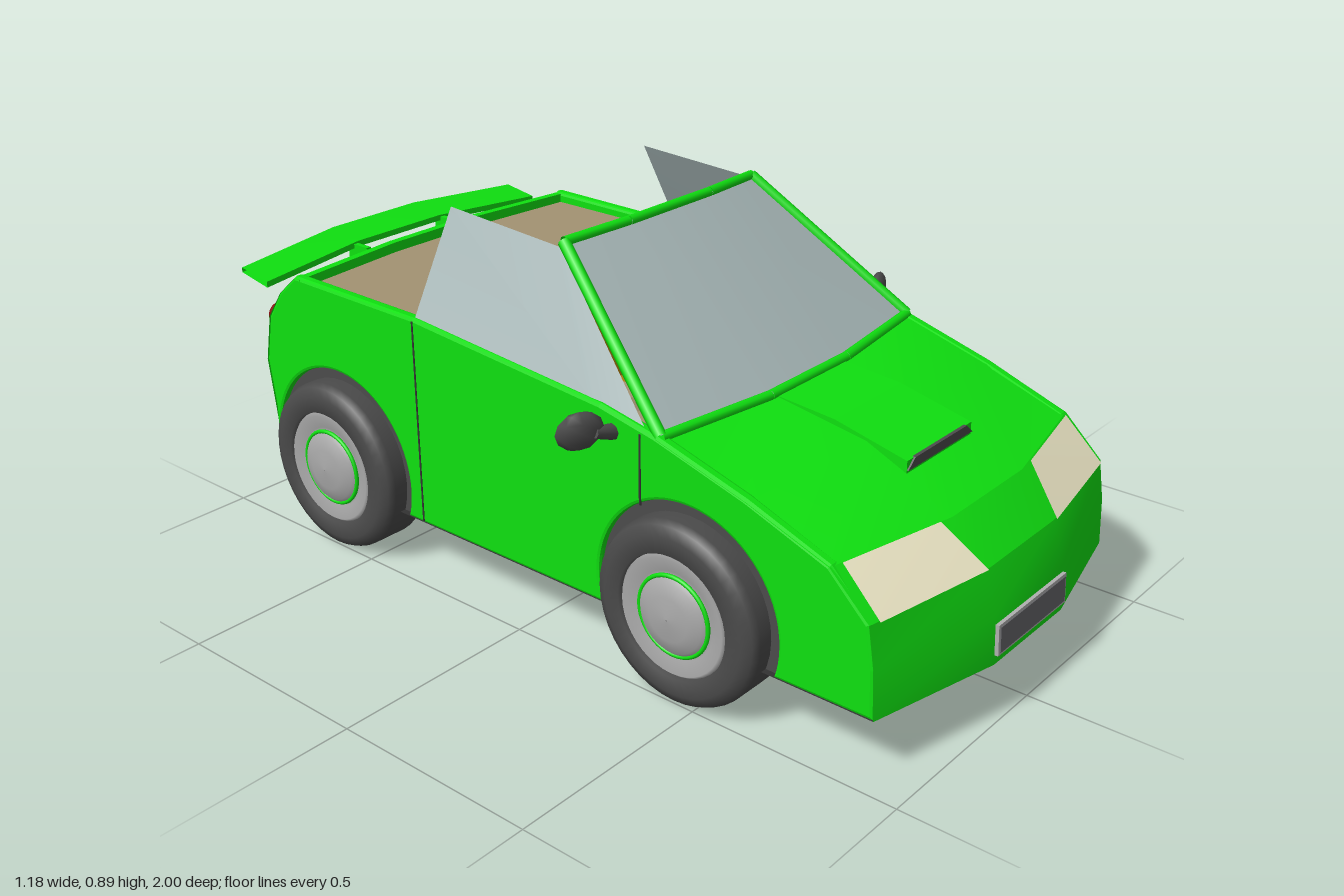
import * as THREE from 'three';
import { toCreasedNormals } from 'three/addons/utils/BufferGeometryUtils.js';

const mat = (color) => new THREE.MeshStandardMaterial({ color, side: THREE.DoubleSide });
const M = {
  paint: mat(0x0fe010), glass: mat(0xa5b5b5), trim: mat(0x4c4c4c), tyre: mat(0x4a4a4a),
  rim: mat(0xa8a8a8), tan: mat(0xa39272), seat: mat(0xa87a10), lamp: mat(0xf2ecca),
  red: mat(0x80080c), amber: mat(0xcc960c), plate: mat(0x66666a), frame: mat(0xb0b0b0), dark: mat(0x333333),
};

export function createModel() {
  const model = new THREE.Group();
  const W = 0.465, BEND = 0.14;

  const add = (name, geo, material, x = 0, y = 0, z = 0, parent = model) => {
    const mesh = new THREE.Mesh(geo, material);
    mesh.name = name;
    mesh.position.set(x, y, z);
    parent.add(mesh);
    return mesh;
  };
  const box = (name, w, h, d, material, x, y, z) => add(name, new THREE.BoxGeometry(w, h, d), material, x, y, z);

  // Grid of points (rows of [x, y, z]) turned into a smooth-shaded skin with sharp creases
  const skin = (name, rows, material, crease = 0.35) => {
    const n = rows[0].length, index = [];
    for (let r = 0; r < rows.length - 1; r++)
      for (let c = 0; c < n - 1; c++) {
        const a = r * n + c, b = a + n;
        index.push(a, a + 1, b, a + 1, b + 1, b);
      }
    const geo = new THREE.BufferGeometry();
    geo.setAttribute('position', new THREE.Float32BufferAttribute(rows.flat(2), 3));
    geo.setIndex(index);
    geo.computeVertexNormals();
    return add(name, toCreasedNormals(geo, crease), material);
  };
  // One row across the car: the middle part is straight, the outer parts sweep back
  const across = ([zSide, ySide, zMid, yMid], w = W) =>
    [[-w, ySide, zSide], [-BEND, yMid, zMid], [BEND, yMid, zMid], [w, ySide, zSide]];

  // Outline in (z, y) extruded across x from x0 to x1
  const sideExtrude = (shape, x0, x1, bevel = 0) => {
    const geo = new THREE.ExtrudeGeometry(shape, {
      depth: x1 - x0 - 2 * bevel, bevelEnabled: bevel > 0, bevelThickness: bevel,
      bevelSize: bevel, bevelOffset: -bevel, bevelSegments: 2, curveSegments: 24,
    });
    return geo.rotateY(-Math.PI / 2).translate(x1 - bevel, 0, 0);
  };
  const outline = (pts) => new THREE.Shape(pts.map(([z, y]) => new THREE.Vector2(z, y)));

  // Nose and bonnet, running from the front sill up to the windscreen
  skin('noseAndBonnet', [
    [0.915, 0.14, 0.99, 0.14], [0.91, 0.25, 0.985, 0.25], [0.895, 0.345, 0.955, 0.345],
    [0.8, 0.435, 0.87, 0.435], [0.6, 0.505, 0.65, 0.53], [0.37, 0.57, 0.42, 0.565],
  ].map((r) => across(r)).reverse(), M.paint);

  // Tail, running from the rear sill up to the rear deck
  skin('tail', [
    [-0.85, 0.14, -0.92, 0.14], [-0.87, 0.3, -0.95, 0.3], [-0.885, 0.41, -0.975, 0.41],
    [-0.86, 0.53, -0.925, 0.54], [-0.81, 0.6, -0.84, 0.6], [-0.75, 0.652, -0.78, 0.655], [-0.73, 0.652, -0.76, 0.655],
    [-0.73, 0.61, -0.76, 0.61],
  ].map((r) => across(r)), M.paint);

  // Underbody
  skin('underbody', [across([0.915, 0.141, 0.99, 0.141]), across([-0.85, 0.141, -0.92, 0.141])], M.dark);

  // Side panels with wheel arches cut out of the lower edge
  const AXLES = [-0.62, 0.45], AXLE_Y = 0.21, ARCH = 0.237;
  const dip = Math.asin((AXLE_Y - 0.14) / ARCH);
  const panel = new THREE.Shape();
  panel.moveTo(-0.85, 0.14);
  for (const z of AXLES) panel.absarc(z, AXLE_Y, ARCH, Math.PI + dip, -dip, true);
  for (const [z, y] of [[0.915, 0.14], [0.91, 0.25], [0.895, 0.345], [0.8, 0.438], [0.6, 0.51], [0.37, 0.575],
    [0.22, 0.605], [-0.34, 0.652], [-0.75, 0.656], [-0.81, 0.605], [-0.86, 0.53], [-0.885, 0.41], [-0.87, 0.3]])
    panel.lineTo(z, y);
  const panelGeo = sideExtrude(panel, W - 0.03, W, 0.008);
  const well = new THREE.Shape();
  well.absarc(0, AXLE_Y, ARCH, -dip, Math.PI + dip, false);
  const wellGeo = sideExtrude(well, 0.36, 0.45);

  // Wheel profiles, (radius, distance along the axle)
  const lathe = (pts) => new THREE.LatheGeometry(pts.map(([r, h]) => new THREE.Vector2(r, h)), 40).rotateZ(-Math.PI / 2);
  const tyreGeo = lathe([[0.12, -0.075], [0.185, -0.075], [0.202, -0.066], [0.21, -0.045], [0.21, 0.045],
    [0.202, 0.062], [0.18, 0.072], [0.142, 0.072], [0.138, 0.055]]);
  const rimGeo = lathe([[0.001, -0.07], [0.13, -0.07], [0.14, 0.06], [0.132, 0.07], [0.1, 0.058], [0.09, 0.06]]);
  const capGeo = lathe([[0.092, 0.06], [0.08, 0.072], [0.05, 0.081], [0.001, 0.085]]);
  const ringGeo = new THREE.TorusGeometry(0.091, 0.005, 8, 40).rotateY(Math.PI / 2);

  for (const s of [1, -1]) {
    const side = s > 0 ? 'left' : 'right';
    const mirrored = (geo) => {
      if (s > 0) return geo;
      return geo.clone().rotateY(Math.PI).scale(1, 1, -1);
    };
    add(side + 'SidePanel', mirrored(panelGeo), M.paint);
    AXLES.forEach((z, i) => {
      const end = i ? 'Front' : 'Rear';
      add(side + end + 'WheelArch', mirrored(wellGeo), M.trim, 0, 0, z);
      const wheel = new THREE.Group();
      wheel.name = side + end + 'Wheel';
      wheel.position.set(s * 0.44, AXLE_Y, z);
      wheel.rotation.y = s > 0 ? 0 : Math.PI;
      add('tyre', tyreGeo, M.tyre, 0, 0, 0, wheel);
      add('rim', rimGeo, M.rim, 0, 0, 0, wheel);
      add('hubcap', capGeo, M.rim, 0, 0, 0, wheel);
      add('hubRing', ringGeo, M.paint, 0.062, 0, 0, wheel);
      model.add(wheel);
    });

    // Door seams and inner door lining
    box(side + 'DoorRearSeam', 0.002, 0.5, 0.005, M.dark, s * W, 0.395, -0.34);
    box(side + 'DoorFrontSeam', 0.002, 0.16, 0.005, M.dark, s * W, 0.49, 0.33);
    box(side + 'DoorLining', 0.008, 0.42, 1.0, M.tan, s * (W - 0.034), 0.38, -0.24);

    // Side window leaning inwards
    skin(side + 'Window', [
      [[s * 0.455, 0.575, 0.34], [s * 0.335, 0.86, 0.0], [s * 0.33, 0.88, -0.34]],
      [[s * 0.455, 0.575, 0.34], [s * 0.458, 0.6, 0.2], [s * 0.458, 0.645, -0.34]],
    ], M.glass);

    // Door mirror
    const mirror = add(side + 'Mirror', new THREE.SphereGeometry(0.5, 8, 6), M.trim, s * 0.54, 0.575, 0.235);
    mirror.scale.set(0.11, 0.085, 0.04);
    mirror.rotation.y = s * 0.4;
    const arm = add(side + 'MirrorArm', new THREE.CylinderGeometry(0.012, 0.02, 0.07, 8), M.trim, s * 0.485, 0.56, 0.255);
    arm.rotation.z = -s * 1.3;

    // Headlight following the nose surface
    skin(side + 'Headlight', [
      [[s * 0.44, 0.44, 0.813], [s * 0.18, 0.44, 0.868]],
      [[s * 0.445, 0.348, 0.907], [s * 0.14, 0.348, 0.961]],
    ], M.lamp);

    // Three round tail lamps
    [[0.4, M.red], [0.33, M.amber], [0.26, M.red]].forEach(([x, m], i) =>
      add(side + 'TailLamp' + (i + 1), new THREE.CylinderGeometry(0.033, 0.028, 0.05, 20).rotateX(Math.PI / 2), m,
        s * x, 0.505, -0.945 + (x - BEND) * 0.215));

    // Seat: cushion, leaning backrest
    box(side + 'SeatCushion', 0.3, 0.12, 0.32, M.seat, s * 0.185, 0.3, -0.12);
    const back = box(side + 'SeatBack', 0.3, 0.37, 0.08, M.seat, s * 0.185, 0.45, -0.285);
    back.rotation.x = -0.2;
    box(side + 'WingStrut', 0.014, 0.06, 0.07, M.paint, s * 0.15, 0.595, -0.885);
  }

  // Rear wing, a thin swept blade
  skin('rearWing', [
    [-0.865, 0.6, -0.9, 0.615], [-0.865, 0.615, -0.9, 0.63], [-0.96, 0.63, -1.0, 0.645],
    [-0.96, 0.618, -1.0, 0.633], [-0.865, 0.6, -0.9, 0.615],
  ].map((r) => across(r, 0.46)), M.paint);

  // Windscreen glass and its painted surround
  const low = across([0.375, 0.572, 0.415, 0.57], 0.452), high = across([0, 0.87, 0.02, 0.875], 0.325);
  skin('windscreen', [high, low], M.glass);
  const bar = (name, a, b, r) => {
    const path = new THREE.LineCurve3(new THREE.Vector3(...a), new THREE.Vector3(...b));
    add(name, new THREE.TubeGeometry(path, 1, r, 8), M.paint);
  };
  for (let i = 0; i < 3; i++) {
    bar('windscreenTopRail', high[i], high[i + 1], 0.012);
    bar('windscreenSill', low[i], low[i + 1], 0.012);
  }
  bar('rightPillar', low[0], high[0], 0.014);
  bar('leftPillar', low[3], high[3], 0.014);
  box('rearViewMirror', 0.12, 0.04, 0.015, M.frame, 0, 0.81, 0.03);

  // Raised bonnet scoop with a dark slot
  add('bonnetScoop', sideExtrude(outline([[0.75, 0.46], [0.75, 0.515], [0.57, 0.555], [0.42, 0.567], [0.42, 0.53]]),
    -0.125, 0.125), M.paint);
  const slot = outline([[-0.125, 0.494], [0.125, 0.494], [0.1, 0.516], [-0.1, 0.516]]);
  add('scoopSlot', new THREE.ExtrudeGeometry(slot, { depth: 0.008, bevelEnabled: false }), M.trim, 0, 0, 0.746);

  // Number plates, left blank
  for (const [name, y, z, tilt] of [['front', 0.197, 0.989, -0.05], ['rear', 0.27, -0.947, 0.18]]) {
    const f = box(name + 'PlateFrame', 0.28, 0.07, 0.014, M.frame, 0, y, z);
    const p = box(name + 'Plate', 0.268, 0.058, 0.018, M.plate, 0, y, z);
    f.rotation.x = p.rotation.x = tilt;
  }

  // Cabin: floor, rear shelf, console, dashboard
  box('cabinFloor', 0.88, 0.02, 0.8, M.dark, 0, 0.17, 0);
  box('rearShelf', 0.87, 0.03, 0.37, M.tan, 0, 0.615, -0.575);
  box('rearBulkhead', 0.87, 0.45, 0.02, M.tan, 0, 0.39, -0.4);
  box('centreConsole', 0.06, 0.2, 0.55, M.tan, 0, 0.29, -0.1);
  add('dashboard', sideExtrude(outline([[0.37, 0.2], [0.37, 0.56], [0.24, 0.56], [0.18, 0.5], [0.2, 0.4], [0.3, 0.2]]),
    -0.43, 0.43), M.tan);

  // Steering wheel and column
  const steering = new THREE.Group();
  steering.name = 'steeringWheel';
  steering.position.set(0.19, 0.59, 0.08);
  steering.rotation.x = 0.4;
  add('steeringRim', new THREE.TorusGeometry(0.095, 0.01, 8, 32), M.trim, 0, 0, 0, steering);
  add('steeringHub', new THREE.CylinderGeometry(0.03, 0.03, 0.03, 16).rotateX(Math.PI / 2), M.seat, 0, 0, 0.01, steering);
  add('steeringColumn', new THREE.CylinderGeometry(0.018, 0.018, 0.18, 12).rotateX(Math.PI / 2), M.seat, 0, 0, 0.1, steering);
  for (let i = 0; i < 3; i++) {
    const spoke = add('steeringSpoke', new THREE.BoxGeometry(0.02, 0.09, 0.01).translate(0, 0.045, 0), M.seat, 0, 0, 0, steering);
    spoke.rotation.z = Math.PI / 3 + i * Math.PI * 2 / 3;
  }
  return model;
}
